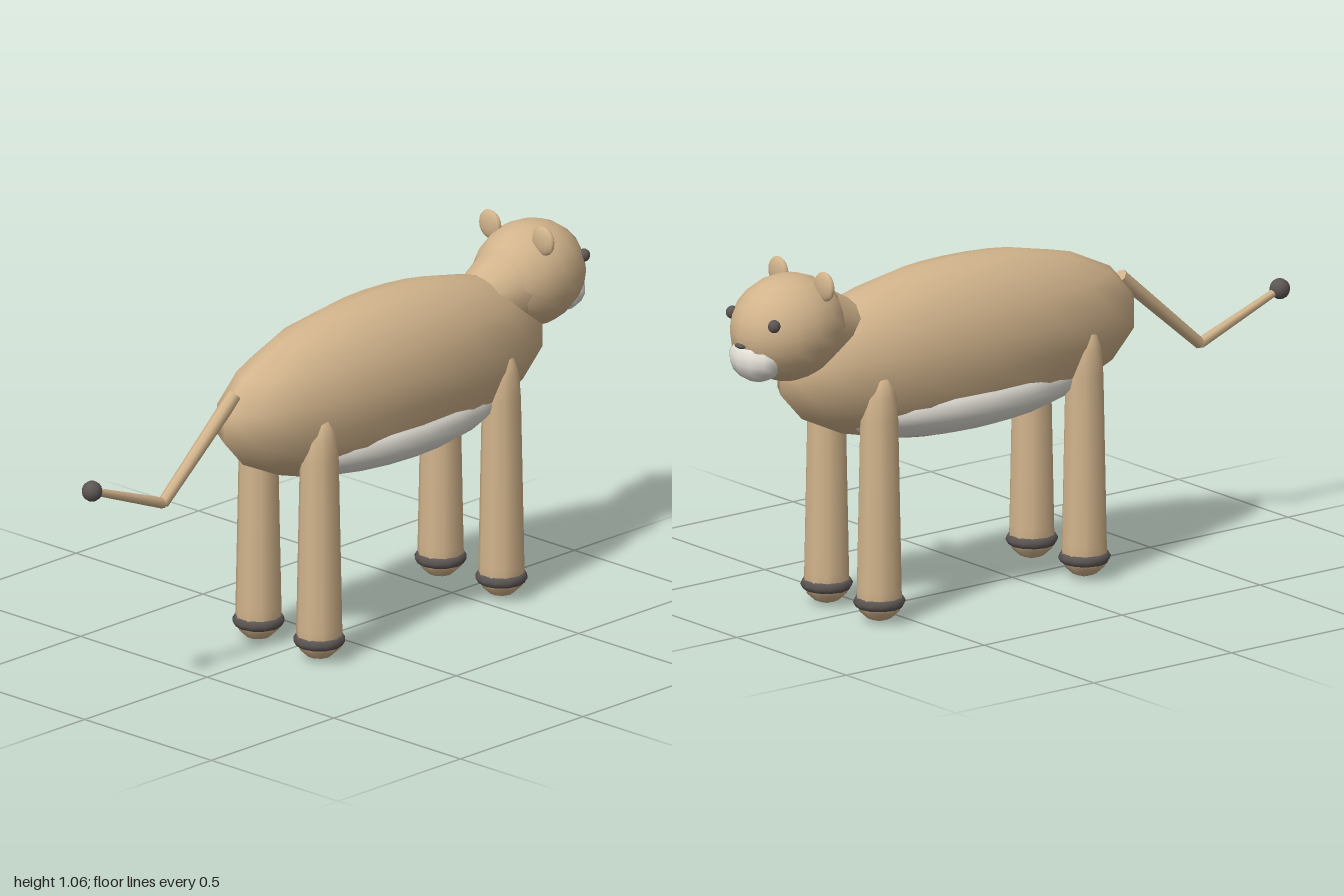
import * as THREE from 'three';

export function createModel() {
  const root = new THREE.Group();
  const mat = (name, color) => {
    const m = new THREE.MeshStandardMaterial({ color });
    m.name = name;
    return m;
  };
  const tan = mat('tan fur', 0xd2b48c);
  const cream = mat('pale fur', 0xebe7de);
  const dark = mat('dark grey', 0x5c5654);

  const add = (name, geometry, material, parent = root) => {
    const mesh = new THREE.Mesh(geometry, material);
    mesh.name = name;
    parent.add(mesh);
    return mesh;
  };

  // Ellipsoid from centre and radii
  const ellipsoid = (name, material, [x, y, z], [rx, ry, rz], w = 16, h = 12) => {
    const mesh = add(name, new THREE.SphereGeometry(1, w, h).scale(rx, ry, rz), material);
    mesh.position.set(x, y, z);
    return mesh;
  };

  // Tapered rod between two points
  const rod = (name, material, a, b, ra, rb, sides = 8) => {
    const from = new THREE.Vector3(...a), to = new THREE.Vector3(...b);
    const dir = to.clone().sub(from);
    const mesh = add(name, new THREE.CylinderGeometry(rb, ra, dir.length(), sides), material);
    mesh.position.copy(from).add(to).multiplyScalar(0.5);
    mesh.quaternion.setFromUnitVectors(new THREE.Vector3(0, 1, 0), dir.normalize());
    return mesh;
  };

  // Body, with the pale belly showing low on both flanks
  ellipsoid('body', tan, [0.205, 0.73, 0], [0.645, 0.255, 0.198], 16, 9);
  ellipsoid('belly', cream, [0.21, 0.59, 0], [0.46, 0.105, 0.19], 20, 12);

  // Neck and head
  rod('neck', tan, [0.62, 0.845, 0], [0.77, 0.885, 0], 0.09, 0.13, 12);
  ellipsoid('head', tan, [0.815, 0.885, 0], [0.178, 0.155, 0.147], 16, 12);
  ellipsoid('muzzle', cream, [0.928, 0.815, 0], [0.07, 0.07, 0.092], 12, 9);
  ellipsoid('nose', dark, [0.985, 0.858, 0], [0.014, 0.008, 0.022], 8, 6);
  for (const side of [1, -1]) {
    ellipsoid('ear', tan, [0.765, 1.017, side * 0.105], [0.014, 0.043, 0.043], 12, 10);
    ellipsoid('eye', dark, [0.94, 0.928, side * 0.096], [0.018, 0.019, 0.018], 10, 8);
  }

  // Legs: tapered with a rounded paw below a dark band
  const legProfile = [
    [0, 0], [0.035, 0.012], [0.06, 0.035], [0.067, 0.06], [0.066, 0.1],
    [0.056, 0.6], [0.051, 0.67], [0.035, 0.72], [0, 0.74],
  ].map(([r, y]) => new THREE.Vector2(r, y));
  const legGeometry = new THREE.LatheGeometry(legProfile, 10);
  const bandGeometry = new THREE.TorusGeometry(0.059, 0.017, 6, 12).rotateX(Math.PI / 2);
  for (const [name, x] of [['frontLeg', 0.578], ['hindLeg', -0.166]]) {
    for (const side of [1, -1]) {
      const leg = new THREE.Group();
      leg.name = name;
      leg.position.set(x, 0, side * 0.12);
      add('limb', legGeometry, tan, leg);
      add('pawBand', bandGeometry, dark, leg).position.y = 0.06;
      root.add(leg);
    }
  }

  // Bent tail with a dark tuft
  rod('tailBase', tan, [-0.39, 0.82, 0], [-0.68, 0.57, 0], 0.022, 0.017);
  rod('tailEnd', tan, [-0.68, 0.57, 0], [-0.97, 0.68, 0], 0.016, 0.011);
  ellipsoid('tailTuft', dark, [-0.97, 0.68, 0], [0.03, 0.03, 0.03], 12, 8);

  return root;
}
